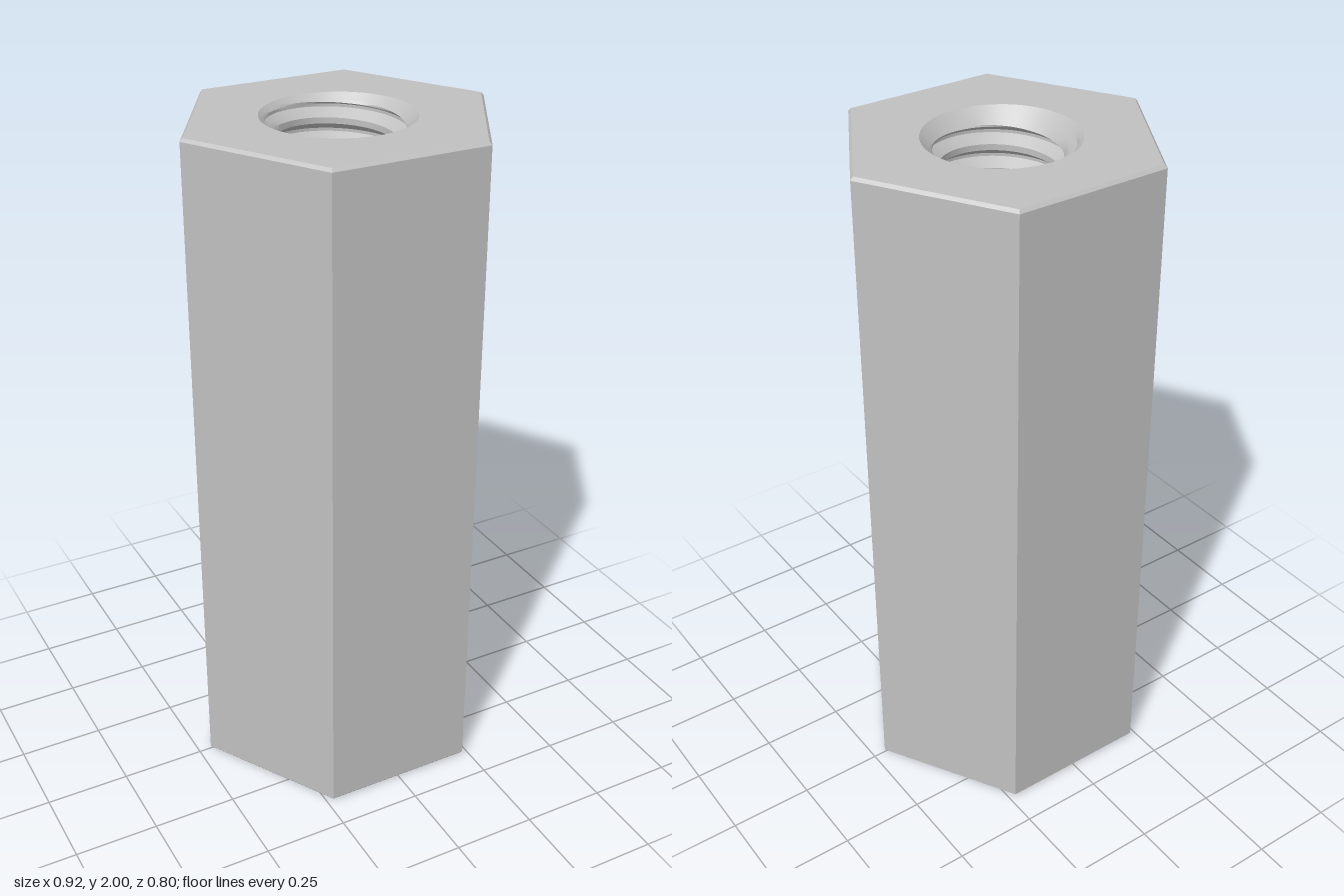
import * as THREE from 'three';
import { toCreasedNormals } from 'three/addons/utils/BufferGeometryUtils.js';

const HEIGHT = 2, HEX_R = 0.462, CHAMFER = 0.009;
const MOUTH_R = 0.217, ROOT_R = 0.2, CREST_R = 0.167;
const PITCH = 0.07, PHASE = 0.064, SEGMENTS = 64;

// Thread profile over one pitch: [fraction of pitch, radius]
function threadProfile() {
  const rows = [], steps = 4;
  for (let i = 0; i <= steps; i++) {
    const k = i / steps;
    rows.push([(1 + 5 * k) / 16, ROOT_R + (CREST_R - ROOT_R) * k]);
  }
  for (let i = 0; i <= steps; i++) {
    const k = i / steps;
    rows.push([(10 + 5 * k) / 16, CREST_R + (ROOT_R - CREST_R) * k]);
  }
  return rows;
}

// Helical bore wall, opened out by a 45 degree countersink at both ends
function boreGeometry() {
  const rows = [];
  const turns = Math.ceil(HEIGHT / PITCH) + 1;
  for (let n = -2; n <= turns; n++) {
    for (const [t, r] of threadProfile()) rows.push([(n + t) * PITCH + PHASE, r]);
  }
  const point = (i, j) => {
    const a = (i / SEGMENTS) * Math.PI * 2;
    const y = THREE.MathUtils.clamp(rows[j][0] + (PITCH * i) / SEGMENTS, 0, HEIGHT);
    const r = Math.max(rows[j][1], MOUTH_R - Math.min(y, HEIGHT - y));
    return [r * Math.cos(a), y, -r * Math.sin(a)];
  };
  const positions = [];
  const triangle = (a, b, c) => {
    const flat = (h) => a[1] === h && b[1] === h && c[1] === h;
    if (!flat(0) && !flat(HEIGHT)) positions.push(...a, ...b, ...c);
  };
  for (let i = 0; i < SEGMENTS; i++) {
    for (let j = 0; j < rows.length - 1; j++) {
      const a = point(i, j), b = point(i + 1, j), c = point(i + 1, j + 1), d = point(i, j + 1);
      triangle(a, d, b);
      triangle(b, d, c);
    }
  }
  const geometry = new THREE.BufferGeometry();
  geometry.setAttribute('position', new THREE.Float32BufferAttribute(positions, 3));
  return toCreasedNormals(geometry, Math.PI / 6);
}

// Hexagonal end face with a round hole
function endFaceGeometry() {
  const corners = [];
  for (let i = 0; i < 6; i++) {
    const a = (i * Math.PI) / 3, r = HEX_R - CHAMFER;
    corners.push(new THREE.Vector2(r * Math.cos(a), r * Math.sin(a)));
  }
  const shape = new THREE.Shape(corners);
  const hole = [];
  for (let i = 0; i < SEGMENTS; i++) {
    const a = (i / SEGMENTS) * Math.PI * 2;
    hole.push(new THREE.Vector2(MOUTH_R * Math.cos(a), MOUTH_R * Math.sin(a)));
  }
  shape.holes.push(new THREE.Path(hole));
  return new THREE.ShapeGeometry(shape);
}

export function createModel() {
  const group = new THREE.Group();
  group.name = 'hexStandoff';
  const steel = new THREE.MeshStandardMaterial({ color: 0xc0c0c0 });
  steel.name = 'steel';

  const add = (name, geometry, y = 0) => {
    const mesh = new THREE.Mesh(geometry, steel);
    mesh.name = name;
    mesh.position.y = y;
    group.add(mesh);
  };
  // Open six-sided ring with crisp edges
  const hexRing = (top, bottom, height) => toCreasedNormals(
    new THREE.CylinderGeometry(top, bottom, height, 6, 1, true, Math.PI / 2), 0.3);

  // Outer body and its chamfers
  const inner = HEX_R - CHAMFER;
  add('hexBody', hexRing(HEX_R, HEX_R, HEIGHT - 2 * CHAMFER), HEIGHT / 2);
  add('topChamfer', hexRing(inner, HEX_R, CHAMFER), HEIGHT - CHAMFER / 2);
  add('bottomChamfer', hexRing(HEX_R, inner, CHAMFER), CHAMFER / 2);

  // End faces
  add('topFace', endFaceGeometry().rotateX(-Math.PI / 2), HEIGHT);
  add('bottomFace', endFaceGeometry().rotateX(Math.PI / 2));

  // Threaded through hole
  add('threadedBore', boreGeometry());
  return group;
}
